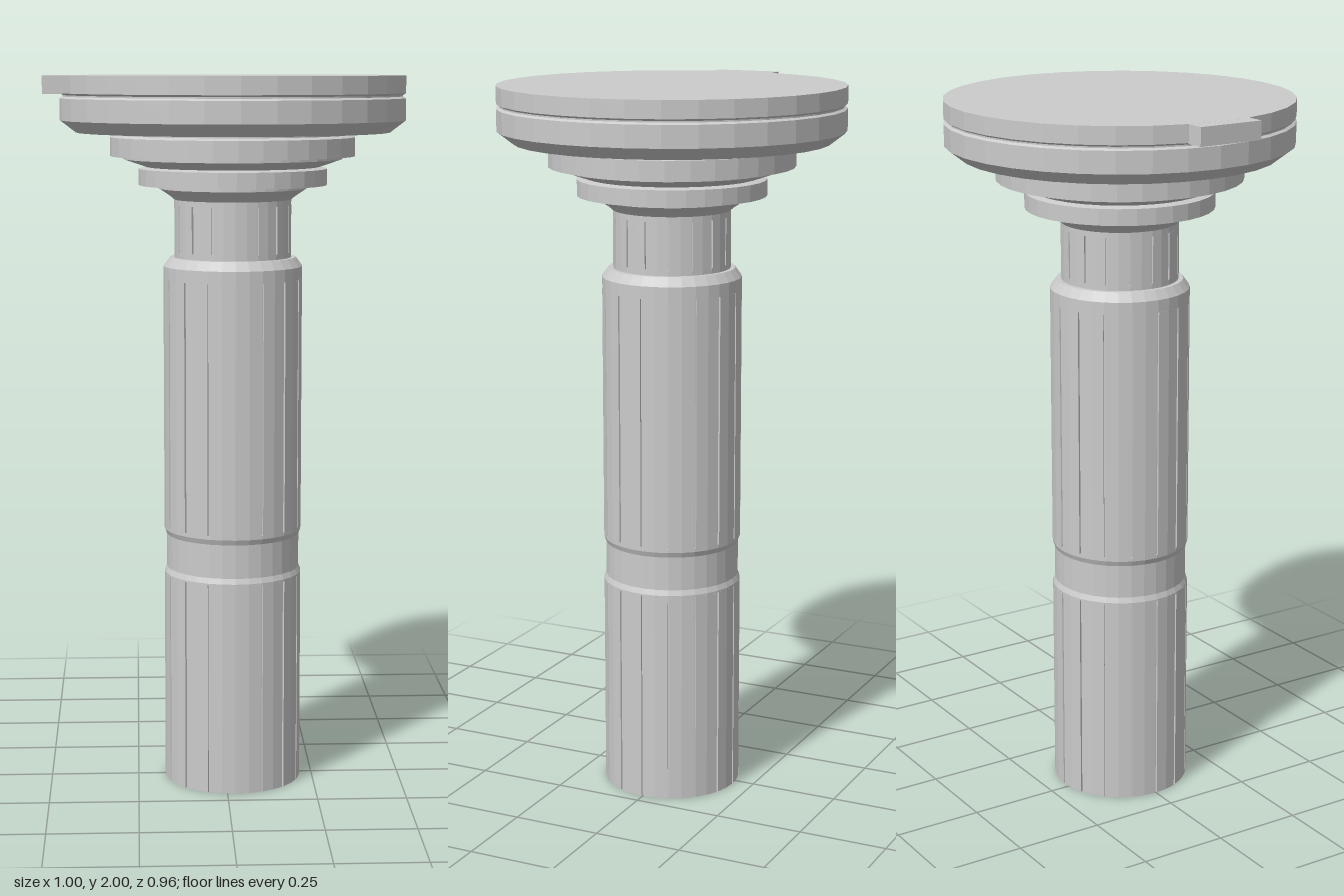
import * as THREE from 'three';

const SIDES = 32;
const AXIS_X = 0.022;

export function createModel() {
  const group = new THREE.Group();
  group.name = 'headedPin';
  const material = new THREE.MeshStandardMaterial({ color: 0xcccccc, flatShading: true });

  function add(name, geometry, x = AXIS_X, y = 0) {
    const mesh = new THREE.Mesh(geometry, material);
    mesh.name = name;
    mesh.position.set(x, y, 0);
    group.add(mesh);
  }

  // Solid of revolution from [radius, height] pairs, listed bottom to top
  function turned(name, profile) {
    add(name, new THREE.LatheGeometry(profile.map(([r, y]) => new THREE.Vector2(r, y)), SIDES));
  }

  // Round bar with sixteen narrow lengthwise slots
  function slotted(name, radius, y0, y1) {
    const slots = 16, halfWidth = 0.003, depth = 0.006;
    const points = [];
    const at = (r, a) => points.push(new THREE.Vector2(r * Math.cos(a), r * Math.sin(a)));
    for (let i = 0; i < slots; i++) {
      const a = (i / slots) * Math.PI * 2, d = halfWidth / radius;
      at(radius, a - d);
      at(radius - depth, a - d);
      at(radius - depth, a + d);
      at(radius, a + d);
      at(radius, a + Math.PI / slots);
    }
    const bar = new THREE.ExtrudeGeometry(new THREE.Shape(points), { depth: y1 - y0, bevelEnabled: false });
    bar.rotateX(-Math.PI / 2);
    add(name, bar, AXIS_X, y0);
  }

  // Shaft: slotted lower and upper lengths around a shallow waist
  slotted('lowerShaft', 0.194, 0, 0.6);
  turned('waist', [[0, 0.6], [0.194, 0.6], [0.194, 0.605], [0.188, 0.62], [0.188, 0.715],
    [0.194, 0.73], [0.194, 0.74], [0, 0.74]]);
  slotted('upperShaft', 0.194, 0.74, 1.44);
  turned('shaftShoulder', [[0, 1.44], [0.194, 1.44], [0.194, 1.475], [0.176, 1.5], [0.163, 1.5],
    [0.163, 1.515], [0, 1.515]]);
  slotted('neck', 0.163, 1.515, 1.645);

  // Stepped collar widening towards the head
  turned('lowerCollar', [[0, 1.645], [0.163, 1.645], [0.163, 1.66], [0.175, 1.67], [0.205, 1.69],
    [0.205, 1.7], [0.262, 1.7], [0.262, 1.745], [0.235, 1.75], [0, 1.75]]);
  turned('upperCollar', [[0, 1.75], [0.24, 1.75], [0.305, 1.772], [0.305, 1.78], [0.34, 1.78],
    [0.34, 1.832], [0.325, 1.838], [0.325, 1.848], [0, 1.848]]);

  // Head disc with a bevelled underside and a fine groove in the rim
  turned('head', [[0, 1.845], [0.435, 1.845], [0.478, 1.878], [0.478, 1.938], [0.47, 1.943],
    [0.47, 1.947], [0.478, 1.952], [0.478, 2], [0, 2]]);

  // Locating tab on the right edge of the head
  add('locatingTab', new THREE.BoxGeometry(0.1, 0.05, 0.186), -0.45, 1.9749);

  return group;
}
